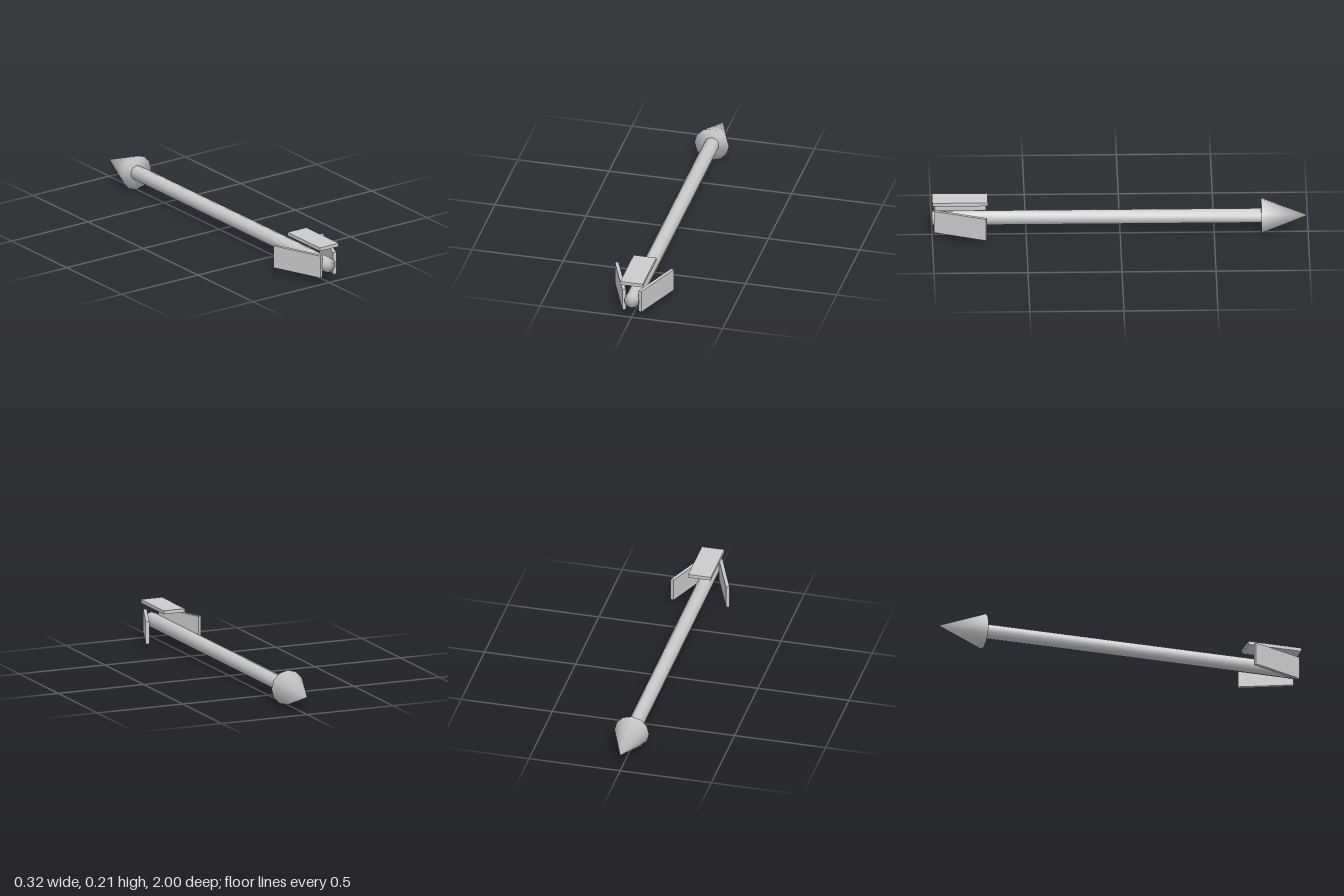
import * as THREE from 'three';
import { mergeVertices } from 'three/addons/utils/BufferGeometryUtils.js';

const AXIS_Y = 0.096;

// Weld vertices so shading blends over the rims.
function weld(geometry) {
  geometry.deleteAttribute('uv');
  geometry.deleteAttribute('normal');
  const welded = mergeVertices(geometry, 1e-4);
  welded.computeVertexNormals();
  return welded;
}

export function createModel() {
  const group = new THREE.Group();
  const material = new THREE.MeshStandardMaterial({ color: 0xcccccc });

  function add(name, geometry, x, y, z) {
    const mesh = new THREE.Mesh(geometry, material);
    mesh.name = name;
    mesh.position.set(x, y, z);
    group.add(mesh);
    return mesh;
  }

  // Ten-sided shaft along z
  const shaft = new THREE.CylinderGeometry(0.04, 0.04, 1.75, 10);
  shaft.rotateX(-Math.PI / 2);
  add('shaft', weld(shaft), 0, AXIS_Y + 0.001, 0.125);

  // Twelve-sided pointed head facing -z
  const head = new THREE.ConeGeometry(0.095, 0.25, 12);
  head.rotateX(-Math.PI / 2);
  add('head', weld(head), 0, AXIS_Y, -0.875);

  // Flat fin floating over the tail
  add('topFin', new THREE.BoxGeometry(0.124, 0.019, 0.295), 0, 0.201, 0.8525);

  // Side fins, splayed outwards towards the head
  for (const side of [1, -1]) {
    const fin = add(side > 0 ? 'leftFin' : 'rightFin',
      new THREE.BoxGeometry(0.019, 0.124, 0.295), side * 0.098, AXIS_Y + 0.001, 0.851);
    fin.rotation.y = -side * 0.38;
  }

  return group;
}
